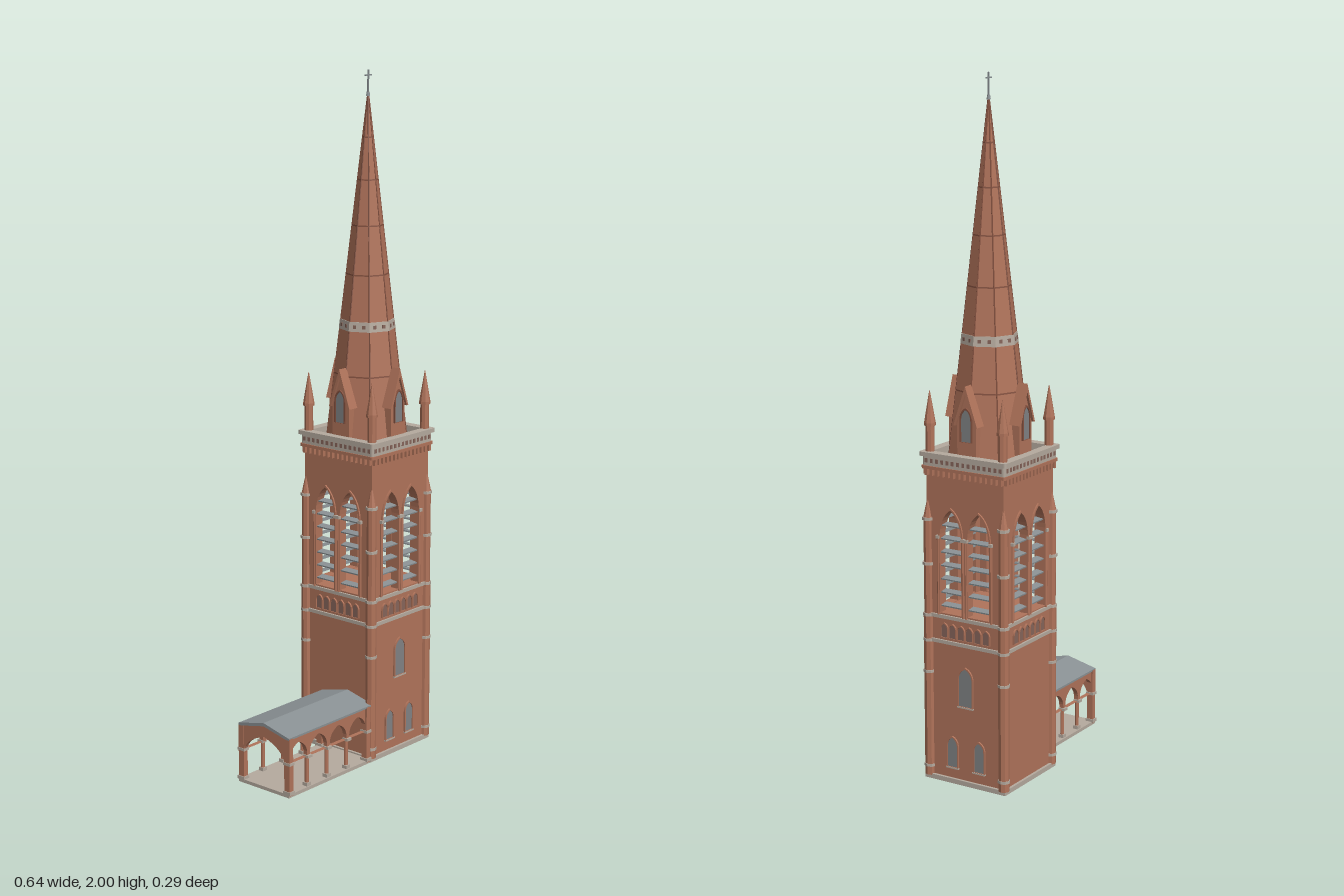
import * as THREE from 'three';

const mat = (name, color) => {
  const m = new THREE.MeshStandardMaterial({ color });
  m.name = name;
  return m;
};

export function createModel() {
  const brick = mat('brick', 0xb0735a), darkBrick = mat('dark brick', 0x84513f);
  const stone = mat('pale stone', 0xb5aa9e), slate = mat('slate', 0x8a9194);
  const glass = mat('grey glass', 0x808284), recess = mat('recess', 0x86655a);

  // Adds a faceted mesh at a position
  function add(parent, name, geo, material, x = 0, y = 0, z = 0) {
    const g = geo.index ? geo.toNonIndexed() : geo;
    g.computeVertexNormals();
    const mesh = new THREE.Mesh(g, material);
    mesh.name = name;
    mesh.position.set(x, y, z);
    parent.add(mesh);
    return mesh;
  }
  const box = (p, n, m, w, h, d, x, y, z) => add(p, n, new THREE.BoxGeometry(w, h, d), m, x, y, z);
  // Cylinder standing on y
  const post = (p, n, m, r0, r1, h, x, y, z, sides = 8) =>
    add(p, n, new THREE.CylinderGeometry(r1, r0, h, sides), m, x, y + h / 2, z);
  const group = (parent, name) => {
    const g = new THREE.Group();
    g.name = name;
    parent.add(g);
    return g;
  };
  // Arched outline with half width w, from sill to spring to apex
  function arch(w, sill, spring, apex, x = 0, Type = THREE.Shape) {
    const s = new Type(), k = spring + (apex - spring) * 0.72;
    s.moveTo(x - w, sill);
    s.lineTo(x + w, sill);
    s.lineTo(x + w, spring);
    s.quadraticCurveTo(x + w, k, x, apex);
    s.quadraticCurveTo(x - w, k, x - w, spring);
    s.closePath();
    return s;
  }
  const poly = pts => new THREE.Shape(pts.map(p => new THREE.Vector2(...p)));
  const extrude = (shape, depth) =>
    new THREE.ExtrudeGeometry(shape, { depth, bevelEnabled: false, curveSegments: 8 });
  // Outline ring around an arch
  function archRing(w, sill, spring, apex, t, x = 0) {
    const s = arch(w + t, sill, spring, apex + t * 1.3, x);
    s.holes.push(arch(w, sill + 0.0005, spring, apex, x, THREE.Path));
    return s;
  }
  // Square frame lying flat with rounded outer corners
  function frame(outer, inner, h, r = 0.008) {
    const s = new THREE.Shape(), o = outer;
    s.moveTo(-o + r, -o);
    s.lineTo(o - r, -o); s.quadraticCurveTo(o, -o, o, -o + r);
    s.lineTo(o, o - r); s.quadraticCurveTo(o, o, o - r, o);
    s.lineTo(-o + r, o); s.quadraticCurveTo(-o, o, -o, o - r);
    s.lineTo(-o, -o + r); s.quadraticCurveTo(-o, -o, -o + r, -o);
    const i = inner;
    s.holes.push(new THREE.Path([[-i, -i], [-i, i], [i, i], [i, -i]].map(p => new THREE.Vector2(...p))));
    return extrude(s, h).rotateX(-Math.PI / 2);
  }

  const model = new THREE.Group();
  model.name = 'towerWithArcade';
  const tower = group(model, 'tower');
  tower.position.x = 0.175;
  const H = 0.128;

  // Solid lower stage, belfry ceiling and string courses
  box(tower, 'towerBase', stone, 0.272, 0.014, 0.272, 0, 0.007, 0);
  box(tower, 'lowerStage', brick, 2 * H, 0.488, 2 * H, 0, 0.256, 0);
  box(tower, 'belfryCeiling', brick, 2 * H, 0.05, 2 * H, 0, 0.9, 0);
  for (const y of [0.412, 0.486]) add(tower, 'stringCourse', frame(H + 0.006, H - 0.01, 0.01), stone, 0, y, 0);

  // Four sides of the tower
  for (let i = 0; i < 4; i++) {
    const side = group(tower, 'towerSide');
    side.rotation.y = i * Math.PI / 2;

    // Belfry wall with twin openings, hoods and louvres
    const wall = poly([[-H, 0.5], [H, 0.5], [H, 0.875], [-H, 0.875]]);
    for (const x of [-0.046, 0.046]) wall.holes.push(arch(0.036, 0.502, 0.715, 0.803, x, THREE.Path));
    add(side, 'belfryWall', extrude(wall, 0.024), brick, 0, 0, H - 0.024);
    for (const x of [-0.046, 0.046]) {
      add(side, 'archHood', extrude(archRing(0.036, 0.502, 0.715, 0.803, 0.005, x), 0.005), brick, 0, 0, H);
      for (let k = 0; k < 7; k++) {
        const slat = box(side, 'louvre', slate, 0.072, 0.004, 0.024, x, 0.523 + k * 0.039, H - 0.013);
        slat.rotation.x = 0.15;
      }
    }
    for (const x of [-0.088, -0.005, 0.005, 0.088]) {
      post(side, 'colonnette', brick, 0.004, 0.004, 0.225, x, 0.496, H + 0.003, 6);
      box(side, 'colonnetteCapital', stone, 0.011, 0.009, 0.01, x, 0.722, H + 0.004);
    }

    // Blind arcade below the belfry
    for (let k = 0; k < 6; k++) {
      const x = (k - 2.5) * 0.028;
      add(side, 'blindArch', extrude(arch(0.0105, 0.43, 0.455, 0.47, x), 0.002), recess, 0, 0, H);
      add(side, 'blindArchFrame', extrude(archRing(0.0105, 0.43, 0.455, 0.47, 0.0025, x), 0.005), brick, 0, 0, H);
    }

    // Lancet windows on the front and the left
    if (i < 2) for (const [x, w, a, b, c] of [[0, 0.022, 0.235, 0.315, 0.347],
      [-0.045, 0.016, 0.047, 0.11, 0.135], [0.045, 0.016, 0.047, 0.11, 0.135]]) {
      add(side, 'lancetWindow', extrude(arch(w, a, b, c, x), 0.002), glass, 0, 0, H);
      add(side, 'lancetFrame', extrude(archRing(w, a, b, c, 0.004, x), 0.005), brick, 0, 0, H);
      box(side, 'lancetSill', stone, w * 2 + 0.01, 0.004, 0.007, x, a - 0.002, H + 0.003);
    }

    // Corbels and parapet piercings
    for (let k = 0; k < 15; k++) {
      const x = (k - 7) * 0.0175;
      box(side, 'corbel', brick, 0.009, 0.018, 0.014, x, 0.905, H + 0.004);
      box(side, 'parapetPiercing', recess, 0.009, 0.012, 0.003, x, 0.938, 0.1355);
    }

    // Gabled dormer on the spire
    const dormer = group(side, 'spireDormer');
    add(dormer, 'dormerBody', extrude(poly([[-0.031, 0.94], [0.031, 0.94], [0.031, 1.06], [0, 1.14], [-0.031, 1.06]]), 0.08),
      brick, 0, 0, 0.037);
    add(dormer, 'dormerRoof', extrude(poly([[-0.039, 1.045], [-0.032, 1.045], [0, 1.135], [0.032, 1.045],
      [0.039, 1.045], [0, 1.158]]), 0.075), brick, 0, 0, 0.049);
    add(dormer, 'dormerWindow', extrude(arch(0.016, 1.0, 1.06, 1.092), 0.002), glass, 0, 0, 0.117);
    add(dormer, 'dormerFrame', extrude(archRing(0.016, 1.0, 1.06, 1.092, 0.004), 0.005), darkBrick, 0, 0, 0.117);

    // Corner shaft with rings and a pointed cap
    const corner = group(side, 'cornerShaft'), c = H - 0.003;
    post(corner, 'shaft', brick, 0.016, 0.016, 0.48, c, 0.01, c);
    post(corner, 'upperShaft', brick, 0.014, 0.014, 0.28, c, 0.49, c);
    post(corner, 'shaftCap', brick, 0.015, 0.002, 0.06, c, 0.77, c);
    for (const y of [0.035, 0.318, 0.412, 0.486, 0.635, 0.765]) post(corner, 'shaftRing', stone, 0.018, 0.018, 0.008, c, y, c);

    // Corner pinnacle
    const pinnacle = group(side, 'pinnacle');
    post(pinnacle, 'pinnacleShaft', brick, 0.013, 0.013, 0.1, 0.12, 0.94, 0.12);
    post(pinnacle, 'pinnacleCollar', brick, 0.017, 0.017, 0.008, 0.12, 1.035, 0.12);
    post(pinnacle, 'pinnacleCap', brick, 0.0165, 0.001, 0.09, 0.12, 1.043, 0.12);
  }

  // Parapet and roof deck
  add(tower, 'corbelCourse', frame(0.139, 0.116, 0.009), brick, 0, 0.914, 0);
  add(tower, 'parapetWall', frame(0.136, 0.118, 0.03), stone, 0, 0.922, 0);
  add(tower, 'parapetCoping', frame(0.143, 0.115, 0.012), stone, 0, 0.95, 0);
  box(tower, 'roofDeck', slate, 0.238, 0.012, 0.238, 0, 0.928, 0);

  // Octagonal spire with ribs, courses and a stone belt
  const spire = group(tower, 'spire');
  const base = 0.934, tip = 1.94, R = 0.118;
  const radiusAt = y => R * (tip - y) / (tip - base);
  post(spire, 'spireBody', brick, R, 0.001, tip - base, 0, base, 0);
  for (let k = 0; k < 8; k++) {
    const a = k * Math.PI / 4;
    const p0 = new THREE.Vector3(Math.sin(a) * R, base, Math.cos(a) * R);
    const edge = new THREE.LineCurve3(p0, new THREE.Vector3(0, tip, 0));
    add(spire, 'spireRib', new THREE.TubeGeometry(edge, 1, 0.0022, 5), darkBrick);
    const belt = group(spire, 'beltSide');
    belt.rotation.y = a + Math.PI / 8;
    const d = (radiusAt(1.275) + 0.003) * Math.cos(Math.PI / 8);
    for (const x of [-0.014, 0.014]) box(belt, 'beltPanel', recess, 0.009, 0.01, 0.004, x, 1.276, d);
  }
  post(spire, 'stoneBelt', stone, radiusAt(1.262) + 0.003, radiusAt(1.29) + 0.003, 0.028, 0, 1.262, 0);
  for (const y of [1.13, 1.42, 1.56, 1.69, 1.81])
    post(spire, 'spireCourse', darkBrick, radiusAt(y) + 0.0015, radiusAt(y + 0.004) + 0.0015, 0.004, 0, y, 0);

  // Finial cross
  post(spire, 'finial', slate, 0.006, 0.004, 0.012, 0, 1.927, 0);
  box(spire, 'crossPost', slate, 0.004, 0.068, 0.004, 0, 1.966, 0);
  box(spire, 'crossBar', slate, 0.026, 0.004, 0.004, 0, 1.985, 0);

  // Arcade walk beside the tower
  const walk = group(model, 'arcadeWalk');
  const x0 = -0.315, bay = 0.0855, zc = 0.038, zh = 0.092, T = 0.014;
  box(walk, 'walkFloor', stone, 0.37, 0.01, 0.194, -0.133, 0.005, zc);
  for (const s of [-1, 1]) {
    const side = group(walk, 'arcadeSide');
    const wall = poly([[x0, 0.1], [x0 + 4 * bay + 0.02, 0.1], [x0 + 4 * bay + 0.02, 0.178], [x0, 0.178]]);
    for (let k = 0; k < 4; k++)
      wall.holes.push(arch(0.037, 0.1002, 0.108, 0.155, x0 + (k + 0.5) * bay, THREE.Path));
    add(side, 'arcadeWall', extrude(wall, T), brick, 0, 0, zc + s * (zh - T / 2) - T / 2);
    for (let k = 0; k <= 4; k++) {
      const end = k % 4 === 0, x = x0 + k * bay + (k === 0 ? 0.006 : 0), z = zc + s * (zh - T / 2);
      if (end) {
        box(side, 'cornerPier', brick, 0.016, 0.17, 0.02, x, 0.09, z + s * 0.003);
        box(side, 'pierBase', stone, 0.021, 0.01, 0.026, x, 0.013, z + s * 0.003);
      } else {
        post(side, 'column', brick, 0.006, 0.006, 0.09, x, 0.01, z);
        box(side, 'columnBase', stone, 0.017, 0.01, 0.017, x, 0.015, z);
      }
      box(side, 'capital', stone, end ? 0.02 : 0.018, 0.008, end ? 0.026 : 0.02, x, 0.1, z + s * 0.003);
    }
  }

  // Open gable end and slate roof
  const gable = poly([[-zh, 0.01], [-zh + 0.014, 0.01], [-zh + 0.014, 0.09]]);
  gable.quadraticCurveTo(-zh + 0.014, 0.135, 0, 0.158);
  gable.quadraticCurveTo(zh - 0.014, 0.135, zh - 0.014, 0.09);
  for (const [x, y] of [[zh - 0.014, 0.01], [zh, 0.01], [zh, 0.174], [0, 0.196], [-zh, 0.174]]) gable.lineTo(x, y);
  add(walk, 'gableEnd', extrude(gable, 0.012).rotateY(Math.PI / 2), brick, x0, 0, zc);
  const roof = poly([[-0.097, 0.172], [-0.086, 0.172], [0, 0.191], [0.086, 0.172], [0.097, 0.172], [0.097, 0.178], [0, 0.201], [-0.097, 0.178]]);
  add(walk, 'walkRoof', extrude(roof, 0.366).rotateY(Math.PI / 2), slate, -0.318, 0, zc);

  return model;
}
